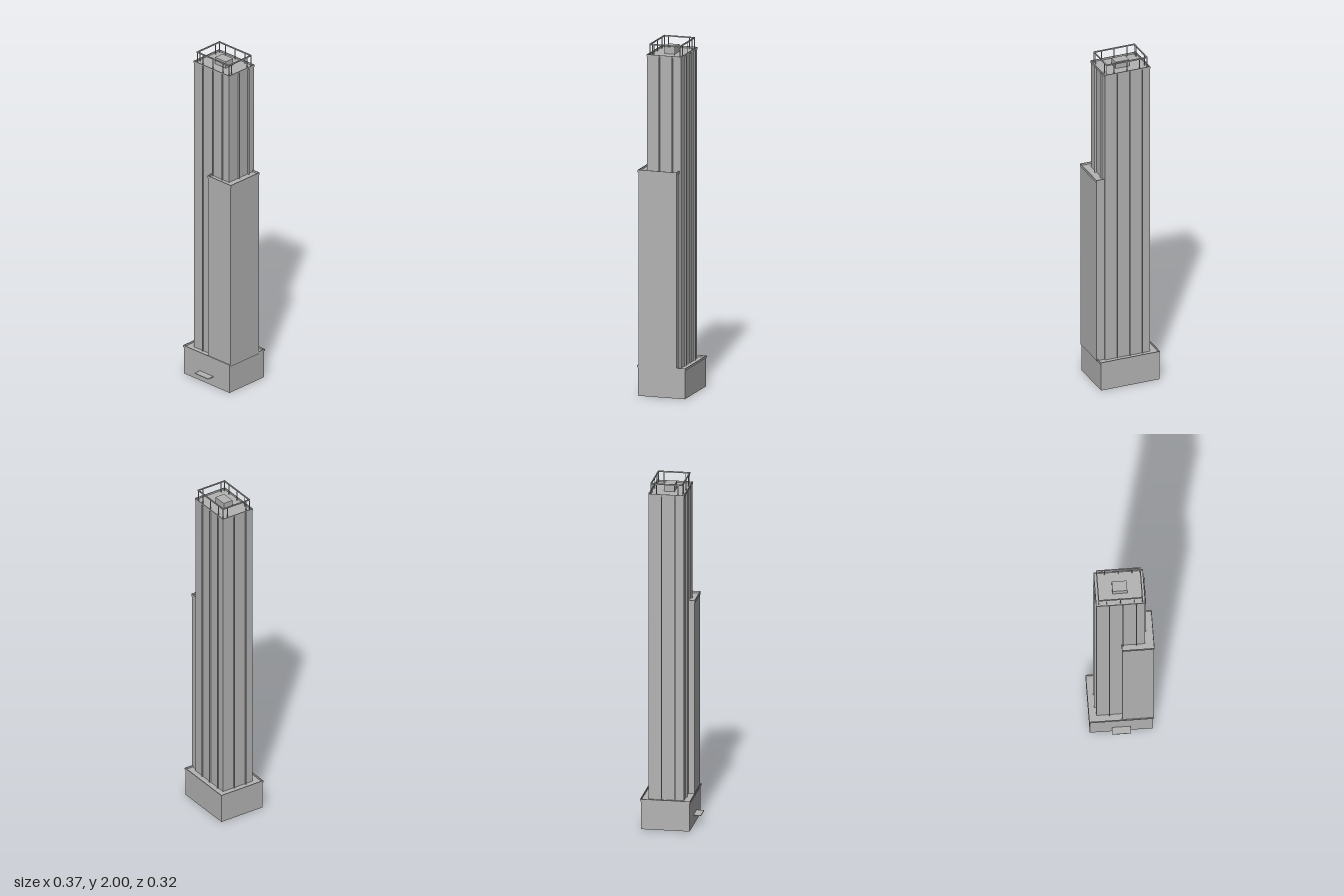
import * as THREE from 'three';

const concrete = new THREE.MeshStandardMaterial({ color: 0xb3b3b3 });
concrete.name = 'concrete grey';

// Box given by its limits on each axis
function block(name, [x0, x1], [y0, y1], [z0, z1]) {
  const mesh = new THREE.Mesh(new THREE.BoxGeometry(x1 - x0, y1 - y0, z1 - z0), concrete);
  mesh.name = name;
  mesh.position.set((x0 + x1) / 2, (y0 + y1) / 2, (z0 + z1) / 2);
  return mesh;
}

// Rectangular frame of wall thickness t, open above and below
function frame(name, [x0, x1], [y0, y1], [z0, z1], t) {
  const rect = (Type, i) => {
    const p = new Type();
    p.moveTo(x0 + i, -z1 + i);
    p.lineTo(x1 - i, -z1 + i);
    p.lineTo(x1 - i, -z0 - i);
    p.lineTo(x0 + i, -z0 - i);
    p.closePath();
    return p;
  };
  const shape = rect(THREE.Shape, 0);
  shape.holes.push(rect(THREE.Path, t));
  const geo = new THREE.ExtrudeGeometry(shape, { depth: y1 - y0, bevelEnabled: false });
  geo.rotateX(-Math.PI / 2);
  const mesh = new THREE.Mesh(geo, concrete);
  mesh.name = name;
  mesh.position.y = y0;
  return mesh;
}

export function createModel() {
  const model = new THREE.Group();
  model.name = 'skyscraper';

  // Hollow podium with a roof deck and a projecting rim
  const podium = new THREE.Group();
  podium.name = 'podium';
  podium.add(
    frame('podiumWalls', [-0.18, 0.173], [0, 0.165], [-0.157, 0.119], 0.002),
    block('podiumDeck', [-0.18, 0.173], [0.161, 0.165], [-0.157, 0.119]),
    frame('podiumRim', [-0.184, 0.177], [0.163, 0.175], [-0.161, 0.123], 0.0045),
    block('entranceCanopy', [-0.057, 0.048], [0.055, 0.059], [0.119, 0.161])
  );
  model.add(podium);

  // Lower wing wrapped round one corner of the tower
  const wing = new THREE.Group();
  wing.name = 'wing';
  wing.add(
    block('wingBody', [0.002, 0.179], [0.164, 1.28], [-0.109, 0.115]),
    frame('wingRim', [0, 0.183], [1.276, 1.291], [-0.112, 0.118], 0.004)
  );
  model.add(wing);

  // Main tower with its roof rim
  const tower = new THREE.Group();
  tower.name = 'tower';
  tower.add(
    block('towerBody', [-0.14, 0.132], [0.164, 1.932], [-0.119, 0.08]),
    frame('towerRim', [-0.142, 0.135], [1.929, 1.942], [-0.121, 0.082], 0.004)
  );
  model.add(tower);

  // Vertical fins on the four faces
  const fins = new THREE.Group();
  fins.name = 'fins';
  const finY = [0.164, 1.935];
  const span = (c) => [c - 0.002, c + 0.002];
  for (const x of [-0.093, -0.017, 0.059]) fins.add(block('backFin', span(x), finY, [-0.127, -0.118]));
  for (const x of [-0.067, 0.008, 0.084]) fins.add(block('frontFin', span(x), finY, [0.079, 0.088]));
  for (const z of [-0.07, 0.006]) fins.add(block('leftFin', [0.131, 0.142], finY, span(z)));
  for (const z of [-0.045, 0.031]) fins.add(block('rightFin', [-0.149, -0.139], finY, span(z)));
  model.add(fins);

  // Roof housing and open railing
  const roof = new THREE.Group();
  roof.name = 'roof';
  roof.add(
    block('roofHousing', [-0.045, 0.038], [1.931, 1.972], [-0.049, 0.01]),
    frame('railing', [-0.129, 0.121], [1.993, 2], [-0.112, 0.071], 0.006)
  );
  const postY = [1.931, 1.995];
  const xEnds = [-0.126, 0.118], zEnds = [-0.109, 0.068];
  for (const z of zEnds) {
    for (const x of [xEnds[0], -0.081, -0.004, 0.073, xEnds[1]]) {
      roof.add(block('railingPost', span(x), postY, span(z)));
    }
  }
  for (const x of xEnds) {
    for (const z of [-0.078, 0.045]) roof.add(block('railingPost', span(x), postY, span(z)));
  }
  model.add(roof);

  return model;
}
